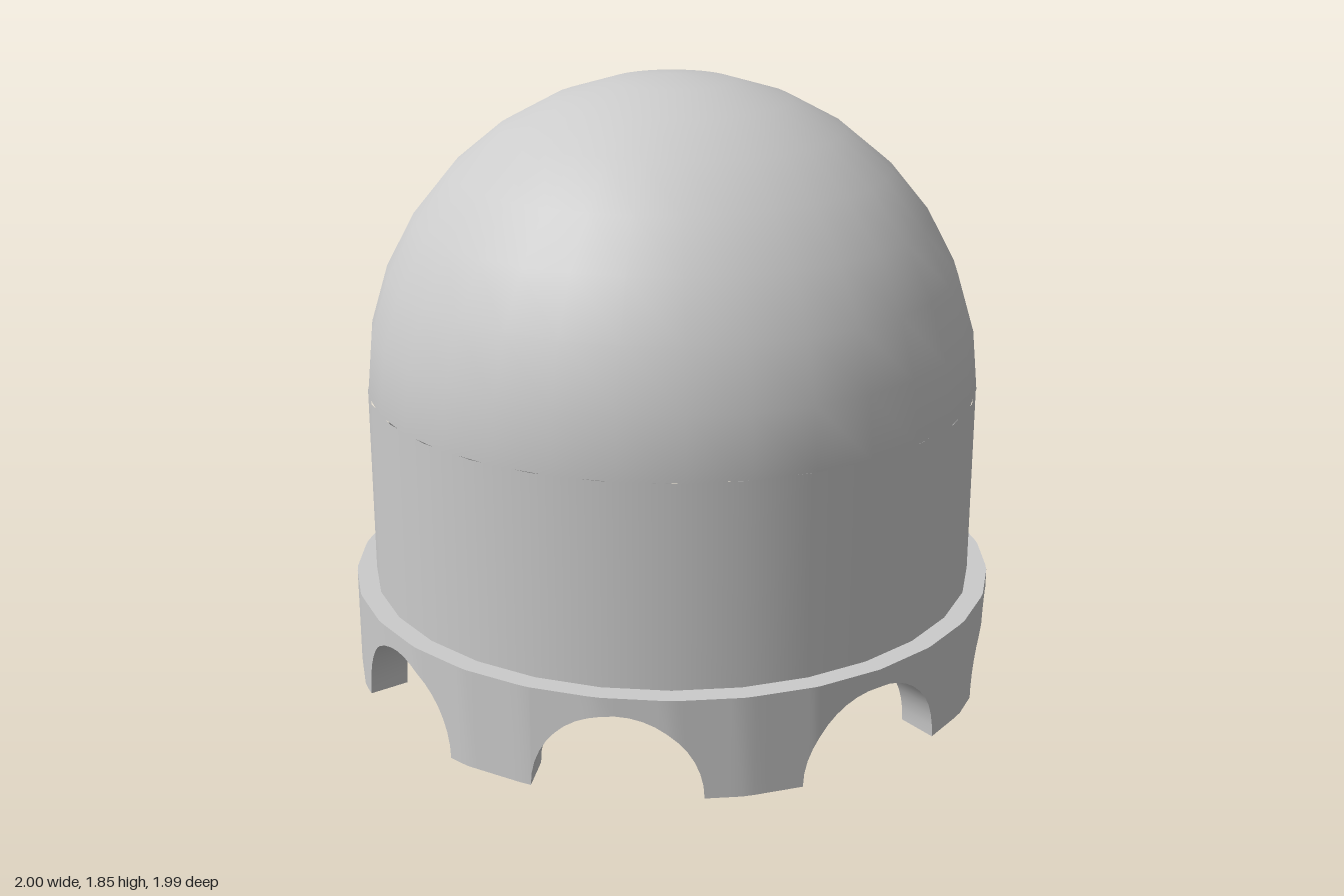
import * as THREE from 'three';
import { toCreasedNormals } from 'three/addons/utils/BufferGeometryUtils.js';

const SIDES = 30, STEP = (2 * Math.PI) / SIDES;
const OUTER = 1, INNER = 0.877, DRUM = 0.938;
const RING_TOP = 0.305, SPRING = 0.915;

// Radius of the 30-sided plan at a given angle (corner on +x)
function planRadius(r, angle) {
  const a = ((angle % STEP) + STEP) % STEP;
  return (r * Math.cos(STEP / 2)) / Math.cos(a - STEP / 2);
}

const point = (r, angle, y) => {
  const p = planRadius(r, angle);
  return new THREE.Vector3(p * Math.cos(angle), y, p * Math.sin(angle));
};

// Skin between neighbouring upright cross-sections, round the whole plan
function loft(columns, closedProfile) {
  const pos = [];
  const tri = (a, b, c) => {
    const area = b.clone().sub(a).cross(c.clone().sub(a)).length();
    if (area > 1e-9) pos.push(...a.toArray(), ...b.toArray(), ...c.toArray());
  };
  columns.forEach((col, j) => {
    const next = columns[(j + 1) % columns.length];
    const n = col.length;
    for (let k = 0; k < (closedProfile ? n : n - 1); k++) {
      const m = (k + 1) % n;
      tri(col[k], col[m], next[m]);
      tri(col[k], next[m], next[k]);
    }
  });
  const g = new THREE.BufferGeometry();
  g.setAttribute('position', new THREE.Float32BufferAttribute(pos, 3));
  return toCreasedNormals(g, 0.6);
}

// Base ring pierced by eight round arches
function arcadeGeometry() {
  const count = 8, half = Math.PI / count, w = 0.247, steps = 20, columns = [];
  for (let i = 0; i < count; i++) {
    const mid = i * 2 * half;
    const add = (aOut, aIn, y) => columns.push([
      point(OUTER, mid + aOut, y), point(OUTER, mid + aOut, RING_TOP),
      point(INNER, mid + aIn, RING_TOP), point(INNER, mid + aIn, y),
    ]);
    const edgeOut = Math.asin(w / OUTER), edgeIn = Math.asin(w / INNER);
    const pier = (s, f) => add(
      s * THREE.MathUtils.lerp(edgeOut, half, f), s * THREE.MathUtils.lerp(edgeIn, half, f), 0);
    for (const f of [1, 0.75, 0.5, 0.25]) pier(-1, f);
    for (let k = 0; k <= steps; k++) {
      const t = (Math.PI * k) / steps, x = -w * Math.cos(t);
      add(Math.asin(x / OUTER), Math.asin(x / INNER), 0.25 * Math.sin(t));
    }
    for (const f of [0.25, 0.5, 0.75]) pier(1, f);
  }
  return loft(columns, true);
}

// Inside of the drum with twelve shallow arched niches
function innerWallGeometry() {
  const count = 12, half = Math.PI / count, w = 0.12, depth = 0.03, steps = 14;
  const sill = 0.41, spring = 0.66, columns = [];
  for (let i = 0; i < count; i++) {
    const mid = i * 2 * half, edge = Math.asin(w / INNER);
    const add = (a, top, d) => columns.push([
      point(INNER, mid + a, SPRING), point(INNER, mid + a, top),
      point(INNER + d, mid + a, top), point(INNER + d, mid + a, sill),
      point(INNER, mid + a, sill), point(INNER, mid + a, RING_TOP),
    ]);
    for (const f of [1, 0.67, 0.33, 0]) add(-THREE.MathUtils.lerp(edge, half, f), spring, 0);
    for (let k = 0; k <= steps; k++) {
      const t = (Math.PI * k) / steps;
      add(Math.asin((-w * Math.cos(t)) / INNER), spring + w * Math.sin(t), depth);
    }
    for (const f of [0, 0.33, 0.67]) add(THREE.MathUtils.lerp(edge, half, f), spring, 0);
  }
  return loft(columns, false);
}

export function createModel() {
  const group = new THREE.Group();
  const material = new THREE.MeshStandardMaterial({ color: 0xcccccc });
  const inside = new THREE.MeshStandardMaterial({ color: 0xcccccc, side: THREE.BackSide });
  const add = (name, geometry, y = 0, mat = material) => {
    const mesh = new THREE.Mesh(geometry, mat);
    mesh.name = name;
    mesh.position.y = y;
    group.add(mesh);
  };

  add('arcadeRing', arcadeGeometry());
  add('innerWall', innerWallGeometry());

  // Outer drum
  const height = SPRING - RING_TOP;
  add('drum', new THREE.CylinderGeometry(DRUM, DRUM, height, SIDES, 1, true, STEP / 2),
    RING_TOP + height / 2);

  // Dome shell, outside and ceiling
  const hemisphere = (r) => new THREE.SphereGeometry(r, 32, 8, 0, Math.PI * 2, 0, Math.PI / 2);
  add('dome', hemisphere(DRUM), SPRING);
  add('domeCeiling', hemisphere(INNER), SPRING, inside);

  return group;
}
